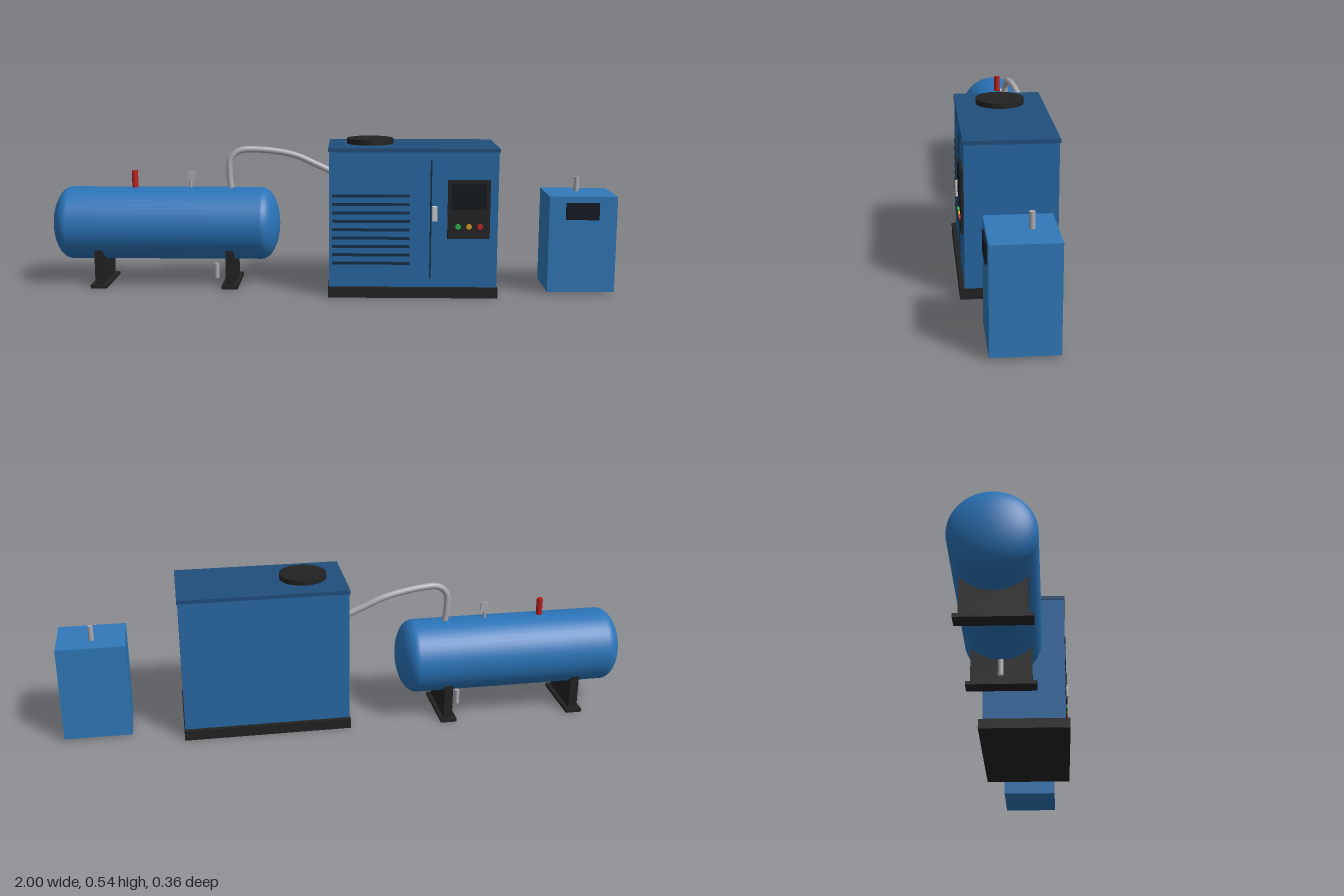
import * as THREE from 'three';

const mat = (color) => new THREE.MeshStandardMaterial({ color });

export function createModel() {
  const root = new THREE.Group();
  const tankBlue = mat(0x2a74b8), cabinetBlue = mat(0x2768a4), lidBlue = mat(0x1f4e7c);
  const dryerBlue = mat(0x3078b8), black = mat(0x222222), navy = mat(0x14304a);
  const glass = mat(0x10161e), grey = mat(0xcccccc), steel = mat(0xa9a9b0), red = mat(0xb82020);

  const add = (parent, name, geo, material, x = 0, y = 0, z = 0) => {
    const m = new THREE.Mesh(geo, material);
    m.name = name;
    m.position.set(x, y, z);
    parent.add(m);
    return m;
  };
  // box given by its min and max on each axis
  const box = (parent, name, material, [x0, x1], [y0, y1], [z0, z1]) =>
    add(parent, name, new THREE.BoxGeometry(x1 - x0, y1 - y0, z1 - z0), material,
      (x0 + x1) / 2, (y0 + y1) / 2, (z0 + z1) / 2);
  // upright cylinder between two heights
  const post = (parent, name, material, r, x, y0, y1, z, sides = 24) =>
    add(parent, name, new THREE.CylinderGeometry(r, r, y1 - y0, sides), material, x, (y0 + y1) / 2, z);
  const group = (name) => {
    const g = new THREE.Group();
    g.name = name;
    root.add(g);
    return g;
  };

  // Air tank: lathed shell with elliptical ends, lying along x
  const tank = group('airTank');
  const R = 0.131, TY = 0.221, TZ = -0.047, half = 0.41, cap = 0.065;
  const profile = [];
  for (let i = 0; i <= 12; i++) {
    const a = (i / 12) * Math.PI / 2;
    profile.push(new THREE.Vector2(R * Math.sin(a), -(half - cap) - cap * Math.cos(a)));
  }
  for (let i = 12; i >= 0; i--) profile.push(new THREE.Vector2(profile[i].x, -profile[i].y));
  const shell = add(tank, 'tankShell', new THREE.LatheGeometry(profile, 48), tankBlue, -0.59, TY, TZ);
  shell.rotation.z = Math.PI / 2;

  // Tank legs with foot plates
  for (const x of [-0.825, -0.355]) {
    box(tank, 'tankLeg', black, [x - 0.015, x + 0.015], [0.012, 0.14], [TZ - 0.1, TZ + 0.1]);
    box(tank, 'tankFoot', black, [x - 0.029, x + 0.029], [0, 0.012], [TZ - 0.115, TZ + 0.115]);
  }

  // Tank fittings
  post(tank, 'safetyValve', red, 0.011, -0.705, 0.348, 0.412, TZ);
  post(tank, 'gaugeStem', steel, 0.005, -0.502, 0.345, 0.38, TZ);
  const gauge = add(tank, 'pressureGauge', new THREE.CylinderGeometry(0.018, 0.018, 0.01, 24), steel, -0.502, 0.392, TZ);
  gauge.rotation.x = Math.PI / 2;
  post(tank, 'drainValve', steel, 0.009, -0.413, 0.016, 0.07, TZ);

  // Hose from tank to cabinet
  const path = new THREE.CatmullRomCurve3([
    [-0.355, 0.34, -0.047], [-0.361, 0.40, -0.048], [-0.357, 0.455, -0.05], [-0.325, 0.484, -0.055],
    [-0.25, 0.487, -0.067], [-0.13, 0.467, -0.08], [-0.05, 0.433, -0.08], [0.01, 0.405, -0.077],
  ].map((p) => new THREE.Vector3(...p)));
  add(root, 'hose', new THREE.TubeGeometry(path, 60, 0.0115, 14, false), steel);

  // Compressor cabinet
  const cabinet = group('compressorCabinet');
  const F = 0.162; // front face
  box(cabinet, 'cabinetBase', black, [0, 0.586], [0, 0.036], [-0.147, 0.177]);
  box(cabinet, 'cabinetBody', cabinetBlue, [0.003, 0.583], [0.036, 0.506], [-0.132, F]);
  box(cabinet, 'cabinetLid', lidBlue, [0, 0.586], [0.506, 0.519], [-0.135, 0.165]);
  post(cabinet, 'fanOutlet', black, 0.082, 0.145, 0.521, 0.539, 0.0145, 40);

  // Louvers, door seam and handle
  for (let i = 0; i < 9; i++) {
    const y = 0.12 + i * 0.0294;
    box(cabinet, 'louver', navy, [0.013, 0.281], [y - 0.005, y + 0.005], [F - 0.002, F + 0.003]);
  }
  box(cabinet, 'doorSeam', navy, [0.35, 0.355], [0.067, 0.478], [F - 0.002, F + 0.006]);
  box(cabinet, 'doorHandle', grey, [0.357, 0.374], [0.27, 0.321], [F - 0.002, 0.178]);

  // Control panel
  box(cabinet, 'controlPanel', black, [0.41, 0.555], [0.208, 0.412], [F - 0.002, 0.17]);
  box(cabinet, 'controlScreen', glass, [0.423, 0.541], [0.31, 0.398], [0.168, 0.174]);
  [0x28b848, 0xd89a20, 0xc42424].forEach((color, i) => {
    const b = add(cabinet, 'controlButton', new THREE.CylinderGeometry(0.0095, 0.0095, 0.008, 20), mat(color),
      0.446 + i * 0.0375, 0.251, 0.171);
    b.rotation.x = Math.PI / 2;
  });

  // Air dryer
  const dryer = group('airDryer');
  box(dryer, 'dryerBody', dryerBlue, [0.766, 1], [0.01, 0.348], [-0.088, 0.118]);
  box(dryer, 'dryerDisplay', glass, [0.823, 0.938], [0.267, 0.326], [0.116, 0.124]);
  post(dryer, 'dryerPipe', steel, 0.009, 0.881, 0.346, 0.399, -0.014);

  return root;
}
